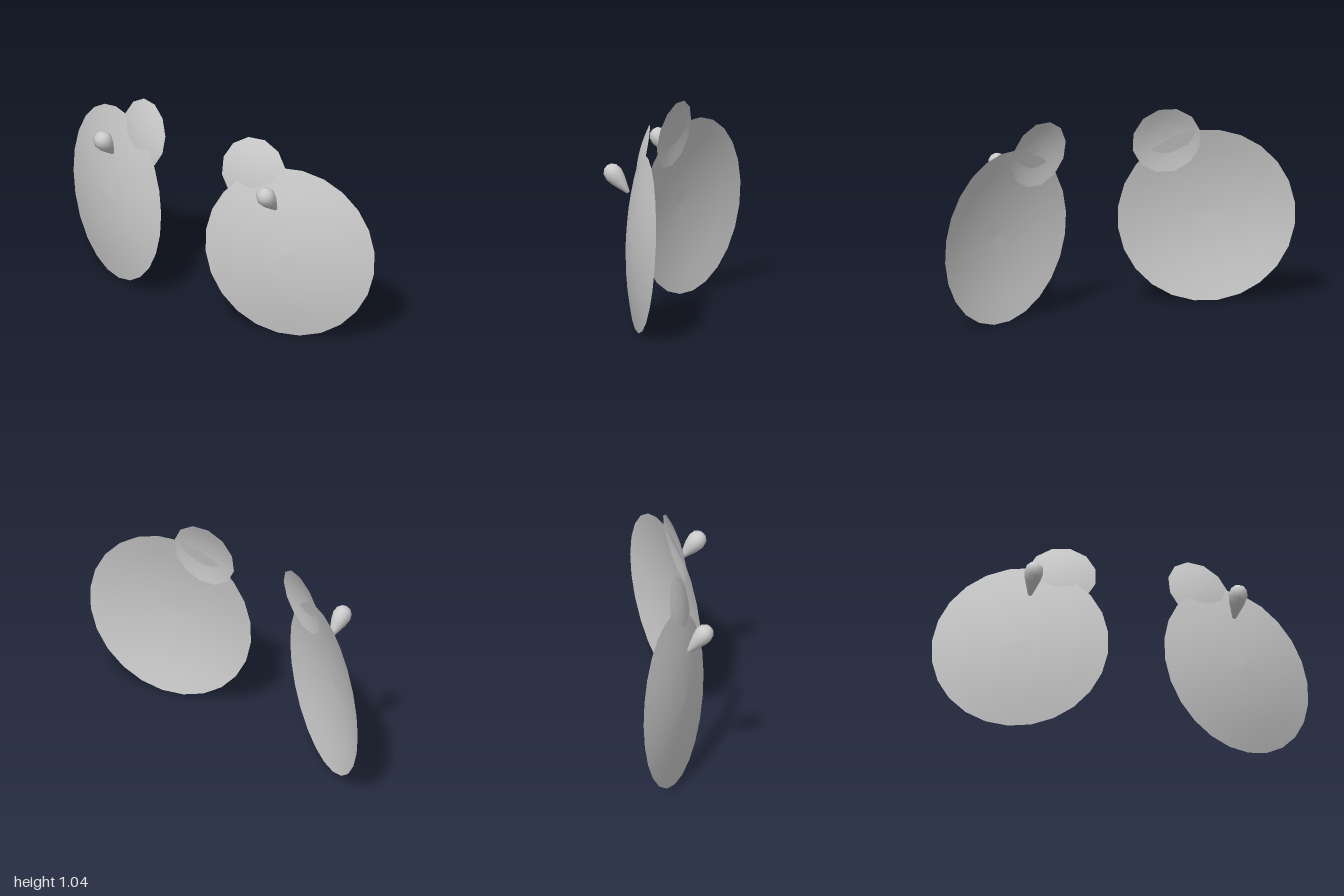
import * as THREE from 'three';

const shellMaterial = new THREE.MeshStandardMaterial({ color: 0xcccccc, side: THREE.DoubleSide });
const knobMaterial = new THREE.MeshStandardMaterial({ color: 0xcccccc });

// Thin open dome: rim in the xy plane, bulging towards +z
function domeGeometry(radius, height, segments, rings) {
  const profile = [];
  for (let i = 0; i <= rings; i++) {
    const t = 1 - i / rings;
    profile.push(new THREE.Vector2(radius * t, height * (1 - t * t)));
  }
  return new THREE.LatheGeometry(profile, segments, Math.PI / segments).rotateX(Math.PI / 2);
}

// Places a dome so that its bulge faces along the normal
function shell(name, geometry, position, normal) {
  const mesh = new THREE.Mesh(geometry, shellMaterial);
  mesh.name = name;
  mesh.position.copy(position);
  mesh.lookAt(position.clone().add(normal));
  return mesh;
}

// Teardrop with its tip at the origin, growing along +y
function teardropGeometry() {
  const profile = [
    [0, 0], [0.01, 0.004], [0.026, 0.045], [0.042, 0.088],
    [0.05, 0.125], [0.043, 0.156], [0.024, 0.175], [0, 0.181],
  ].map(([r, y]) => new THREE.Vector2(r, y));
  return new THREE.LatheGeometry(profile, 12);
}

export function createModel() {
  const model = new THREE.Group();
  const largeDome = domeGeometry(0.461, 0.062, 24, 4);
  const smallDome = domeGeometry(0.182, 0.025, 12, 4);
  const teardrop = teardropGeometry();

  for (const [side, s] of [['left', 1], ['right', -1]]) {
    const half = new THREE.Group();
    half.name = `${side}Half`;

    // Large round shell, swept back at its outer edge
    half.add(shell('largeShell', largeDome,
      new THREE.Vector3(0.577 * s, 0.457, -0.023), new THREE.Vector3(0.39 * s, 0.06, 1)));

    // Small shell overlapping the upper inner rim
    half.add(shell('smallShell', smallDome,
      new THREE.Vector3(0.367 * s, 0.865, 0.017), new THREE.Vector3(0.257 * s, 0.212, 1)));

    // Teardrop knob leaning forward out of the large shell
    const knob = new THREE.Mesh(teardrop, knobMaterial);
    knob.name = 'teardropKnob';
    knob.position.set(0.545 * s, 0.717, 0.053);
    knob.rotation.x = 0.69;
    half.add(knob);

    model.add(half);
  }
  return model;
}
